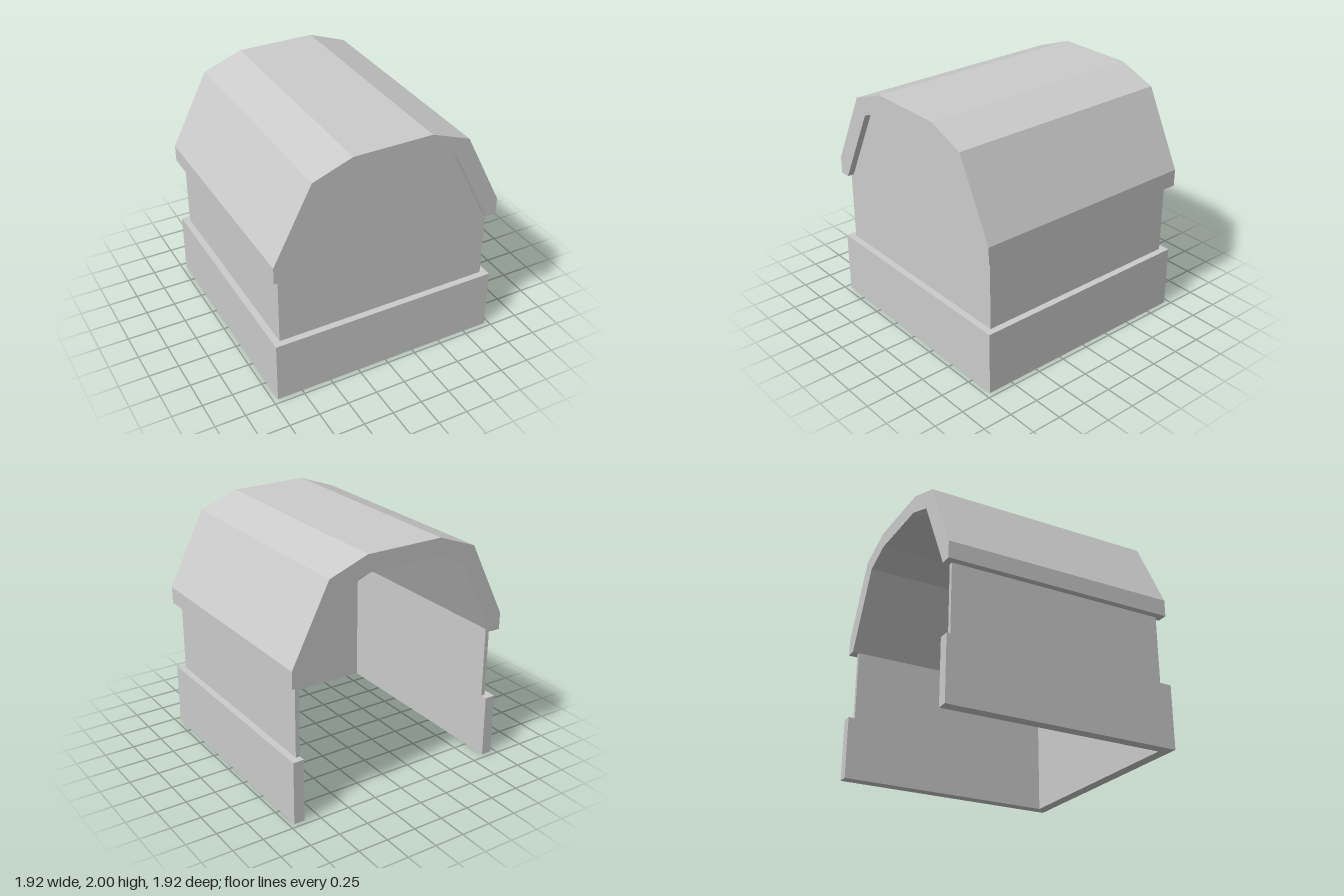
import * as THREE from 'three';

const OUT = 0.96;    // outer face of base and roof
const WALL = 0.905;  // outer face of walls
const IN = 0.87;     // shared inner face
const BASE_TOP = 0.525;
const EAVE = 1.12;

const material = new THREE.MeshStandardMaterial({ color: 0xcccccc, flatShading: true });

// Right half of a profile plus its mirror image, as one open run of points
const mirrored = (half) => [...half, ...half.map(([x, y]) => [-x, y]).reverse()];

function extrude(points, depth) {
  const shape = new THREE.Shape(points.map(([x, y]) => new THREE.Vector2(x, y)));
  return new THREE.ExtrudeGeometry(shape, { depth, bevelEnabled: false });
}

export function createModel() {
  const model = new THREE.Group();
  model.name = 'shelter';

  const add = (name, geometry) => {
    const mesh = new THREE.Mesh(geometry, material);
    mesh.name = name;
    model.add(mesh);
  };

  const innerArch = [[IN, EAVE], [0.545, 1.765], [0.3, 1.86]];
  const outerArch = [[OUT, EAVE], [OUT, 1.26], [0.648, 1.88], [0.325, 2]];

  // Base band: U-shaped plan, open at the back
  const plan = [
    [-OUT, -OUT], [OUT, -OUT], [OUT, OUT], [IN, OUT],
    [IN, -IN], [-IN, -IN], [-IN, OUT], [-OUT, OUT],
  ];
  add('base', extrude(plan, BASE_TOP).rotateX(-Math.PI / 2));

  // Side walls, set in from the base and roof
  for (const side of [1, -1]) {
    const wall = new THREE.BoxGeometry(WALL - IN, EAVE - BASE_TOP, WALL + IN);
    wall.translate(side * (WALL + IN) / 2, (EAVE + BASE_TOP) / 2, (IN - WALL) / 2);
    add(side > 0 ? 'leftWall' : 'rightWall', wall);
  }

  // Front wall with its gable filling the roof arch
  const front = mirrored([[WALL, BASE_TOP], [WALL, EAVE], ...innerArch]);
  add('frontWall', extrude(front, WALL - IN).translate(0, 0, IN));

  // Gambrel roof shell
  const roof = [...mirrored(outerArch), ...mirrored(innerArch).reverse()];
  add('roof', extrude(roof, 2 * OUT).translate(0, 0, -OUT));

  return model;
}
